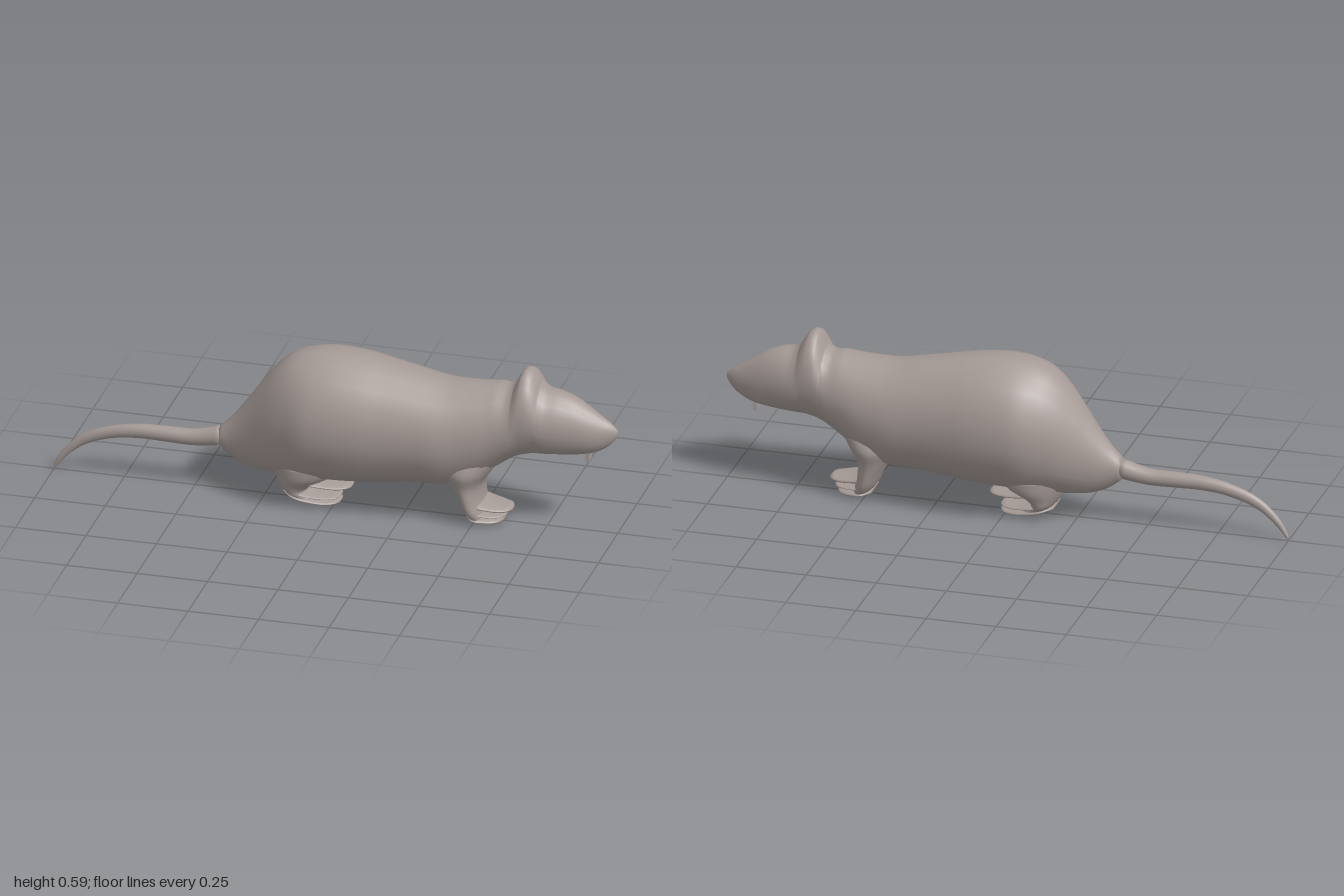
import * as THREE from 'three';

const fur = new THREE.MeshStandardMaterial({ color: 0xa59a96 });
fur.name = 'greyFur';
const SIDES = 20;

// Loft of flat-topped oval sections. Station: [t, high, low, halfWidth].
// Along x: high/low are y limits. With vertical = true, t is y and high/low are x limits.
function loft(name, stations, vertical = false, steps = 4) {
  const curve = new THREE.CubicInterpolant(
    new Float32Array(stations.map(s => s[0])),
    new Float32Array(stations.flatMap(s => s.slice(1))), 3);
  const ts = [];
  stations.forEach((s, i) => {
    if (i === stations.length - 1) { ts.push(s[0]); return; }
    for (let k = 0; k < steps; k++) ts.push(s[0] + (stations[i + 1][0] - s[0]) * k / steps);
  });
  const pos = [], index = [];
  const put = (t, h, z) => vertical ? pos.push(h, t, z) : pos.push(t, h, z);
  const tri = (a, b, c) => vertical ? index.push(a, c, b) : index.push(a, b, c);
  const stretch = 1 / Math.cos(Math.PI / SIDES);
  const mids = [];
  ts.forEach(t => {
    const [hi, lo, w] = curve.evaluate(t);
    mids.push((hi + lo) / 2);
    for (let j = 0; j < SIDES; j++) {
      const a = (j + 0.5) / SIDES * Math.PI * 2;
      put(t, (hi + lo) / 2 + Math.sin(a) * stretch * (hi - lo) / 2, Math.cos(a) * stretch * w);
    }
  });
  for (let i = 0; i < ts.length - 1; i++) {
    for (let j = 0; j < SIDES; j++) {
      const a = i * SIDES + j, b = i * SIDES + (j + 1) % SIDES;
      tri(a, a + SIDES, b);
      tri(b, a + SIDES, b + SIDES);
    }
  }
  // End caps
  const n = ts.length, first = n * SIDES, last = first + 1, base = (n - 1) * SIDES;
  put(ts[0], mids[0], 0);
  put(ts[n - 1], mids[n - 1], 0);
  for (let j = 0; j < SIDES; j++) {
    const k = (j + 1) % SIDES;
    tri(first, j, k);
    tri(last, base + k, base + j);
  }
  const geo = new THREE.BufferGeometry();
  geo.setAttribute('position', new THREE.Float32BufferAttribute(pos, 3));
  geo.setIndex(index);
  geo.computeVertexNormals();
  const mesh = new THREE.Mesh(geo, fur);
  mesh.name = name;
  return mesh;
}

export function createModel() {
  const model = new THREE.Group();
  model.name = 'rodent';

  // Trunk, neck, ear ridge and snout in one skin
  model.add(loft('body', [
    [-0.41, 0.238, 0.165, 0.032],
    [-0.36, 0.29, 0.128, 0.05],
    [-0.30, 0.37, 0.105, 0.08],
    [-0.25, 0.44, 0.098, 0.11],
    [-0.20, 0.502, 0.096, 0.14],
    [-0.15, 0.543, 0.097, 0.165],
    [-0.08, 0.567, 0.1, 0.193],
    [0.00, 0.576, 0.102, 0.2],
    [0.10, 0.568, 0.107, 0.196],
    [0.20, 0.55, 0.117, 0.183],
    [0.30, 0.53, 0.128, 0.172],
    [0.40, 0.512, 0.132, 0.163],
    [0.46, 0.512, 0.15, 0.152],
    [0.53, 0.516, 0.185, 0.139],
    [0.58, 0.522, 0.22, 0.127],
    [0.64, 0.53, 0.26, 0.116],
    [0.655, 0.56, 0.266, 0.115],
    [0.67, 0.584, 0.271, 0.114],
    [0.70, 0.584, 0.278, 0.111],
    [0.72, 0.56, 0.281, 0.107],
    [0.735, 0.533, 0.282, 0.104],
    [0.80, 0.512, 0.285, 0.09],
    [0.85, 0.495, 0.289, 0.075],
    [0.90, 0.465, 0.297, 0.058],
    [0.95, 0.432, 0.318, 0.036],
    [0.98, 0.412, 0.342, 0.02],
    [1.00, 0.392, 0.368, 0.006],
  ]));

  // Tail arching down to the ground
  model.add(loft('tail', [
    [-1.00, 0.022, 0.004, 0.005],
    [-0.985, 0.054, 0.022, 0.008],
    [-0.96, 0.09, 0.052, 0.01],
    [-0.90, 0.145, 0.103, 0.013],
    [-0.80, 0.188, 0.143, 0.018],
    [-0.70, 0.207, 0.157, 0.023],
    [-0.60, 0.211, 0.156, 0.026],
    [-0.50, 0.213, 0.155, 0.028],
    [-0.40, 0.24, 0.168, 0.034],
  ]));

  // Legs: [y, front x, back x, half width]
  model.add(loft('frontLegs', [
    [0.02, 0.545, 0.485, 0.075],
    [0.05, 0.535, 0.463, 0.095],
    [0.10, 0.526, 0.44, 0.105],
    [0.15, 0.53, 0.415, 0.113],
    [0.20, 0.56, 0.39, 0.128],
    [0.26, 0.60, 0.38, 0.11],
  ], true));
  model.add(loft('hindLegs', [
    [0.025, -0.05, -0.14, 0.07],
    [0.05, -0.09, -0.172, 0.09],
    [0.08, -0.06, -0.195, 0.1],
    [0.11, 0.00, -0.21, 0.115],
    [0.16, 0.04, -0.23, 0.12],
  ], true));

  // Feet: a raised foot and a planted foot for each pair
  const foot = (name, x, y, length, w, h, drop) => model.add(loft(name, [
    [x, y + drop + h * 0.3, y + drop - h * 0.3, w * 0.6],
    [x + length * 0.2, y + drop * 0.7 + h * 0.55, y + drop * 0.7 - h * 0.5, w],
    [x + length * 0.5, y + drop * 0.25 + h * 0.5, y + drop * 0.25 - h * 0.5, w * 0.95],
    [x + length * 0.8, y + h * 0.42, y - h * 0.45, w * 0.75],
    [x + length * 0.95, y + h * 0.3, y - h * 0.35, w * 0.5],
    [x + length, y + h * 0.05, y - h * 0.2, w * 0.25],
  ]));
  foot('frontRaisedFoot', 0.47, 0.058, 0.16, 0.07, 0.026, 0.02);
  foot('frontPlantedFoot', 0.475, 0.018, 0.125, 0.082, 0.026, 0.008);
  foot('frontMiddleToes', 0.48, 0.036, 0.13, 0.075, 0.016, 0.01);
  foot('hindRaisedFoot', -0.13, 0.074, 0.19, 0.075, 0.024, 0.018);
  foot('hindPlantedFoot', -0.175, 0.014, 0.195, 0.082, 0.022, 0.03);
  foot('hindMiddleToes', -0.16, 0.033, 0.18, 0.08, 0.018, 0.022);

  // Front teeth below the snout
  const teeth = new THREE.Mesh(new THREE.BoxGeometry(0.012, 0.04, 0.042), fur);
  teeth.name = 'teeth';
  teeth.position.set(0.897, 0.29, 0);
  model.add(teeth);

  return model;
}
